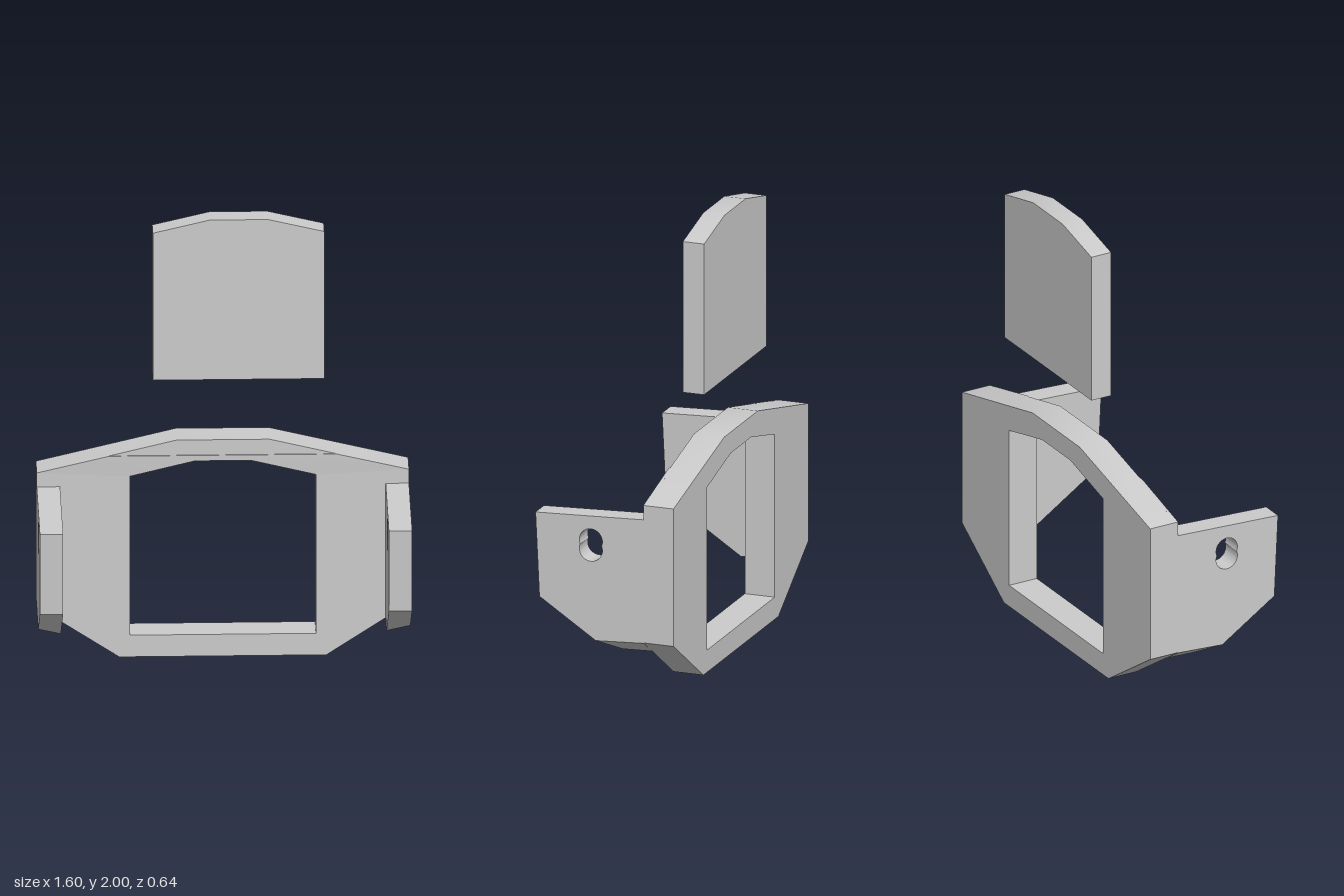
import * as THREE from 'three';
import { toCreasedNormals } from 'three/addons/utils/BufferGeometryUtils.js';

const polygon = (pts) => pts.map(([x, y]) => new THREE.Vector2(x, y));

// Closes a right-hand half outline (listed bottom to top) with its mirror image.
const mirrored = (half) => polygon([...half, ...half.map(([x, y]) => [-x, y]).reverse()]);

const extrude = (shape, depth) =>
  new THREE.ExtrudeGeometry(shape, { depth, bevelEnabled: false, curveSegments: 16 });

// Moves every vertex by a rule.
function reshape(geometry, rule) {
  const p = geometry.attributes.position;
  const v = new THREE.Vector3();
  for (let i = 0; i < p.count; i++) {
    rule(v.fromBufferAttribute(p, i));
    p.setXYZ(i, v.x, v.y, v.z);
  }
  return geometry;
}

export function createModel() {
  const group = new THREE.Group();
  const material = new THREE.MeshStandardMaterial({ color: 0xcccccc });
  const add = (name, geometry) => {
    geometry.computeVertexNormals();
    const mesh = new THREE.Mesh(toCreasedNormals(geometry, 0.5), material);
    mesh.name = name;
    group.add(mesh);
  };

  // Frame plate with its window
  const plate = new THREE.Shape(mirrored([[0.445, 0], [0.8, 0.235], [0.8, 0.855], [0.2, 1]]));
  plate.holes.push(new THREE.Path(mirrored([[0.4, 0.1], [0.4, 0.835], [0.12, 0.905]])));
  add('frame', extrude(plate, 0.138).translate(0, 0, -0.318));

  // Shallow ledge across the front, fading into the plate below
  const ledge = new THREE.Shape(polygon([
    [-0.8, 0.855], [-0.4, 0.835], [-0.12, 0.905], [0.12, 0.905],
    [0.4, 0.835], [0.8, 0.855], [0.49, 0.93], [-0.49, 0.93],
  ]));
  add('frontLedge', reshape(extrude(ledge, 0.015).translate(0, 0, -0.19), (v) => {
    if (v.z > -0.18 && v.y < 0.9) v.z = -0.179;
  }));

  // Side arms, drawn in z and y, each with a slot of two overlapping round holes
  for (const [name, side] of [['rightArm', -1], ['leftArm', 1]]) {
    const profile = new THREE.Shape(polygon([
      [-0.18, 0.168], [-0.045, 0.163], [0.3, 0.39], [0.318, 0.768], [-0.18, 0.79],
    ]));
    const r = 0.053;
    const half = 0.02;
    const a = Math.asin(half / r);
    const slot = new THREE.Path();
    slot.absarc(0.063, 0.648 + half, r, -a, Math.PI + a, false);
    slot.absarc(0.063, 0.648 - half, r, Math.PI - a, 2 * Math.PI + a, false);
    profile.holes.push(slot);

    const arm = extrude(profile, 0.1).rotateY(-Math.PI / 2).translate(side < 0 ? -0.7 : 0.8, 0, 0);
    // The underside rises outward to follow the frame's lower corner
    reshape(arm, (v) => {
      if (Math.abs(v.x) < 0.75 || v.y > 0.2) return;
      if (v.z > -0.1) v.set(v.x, 0.22, 0.041);
      else v.y = 0.233;
    });
    add(name, arm);
  }

  // Separate cover panel floating above the frame
  const cover = new THREE.Shape(polygon([
    [-0.3, 1.262], [0.437, 1.262], [0.437, 1.942], [0.195, 2], [-0.055, 2], [-0.3, 1.942],
  ]));
  add('coverPanel', extrude(cover, 0.098).translate(0, 0, -0.318));

  return group;
}
